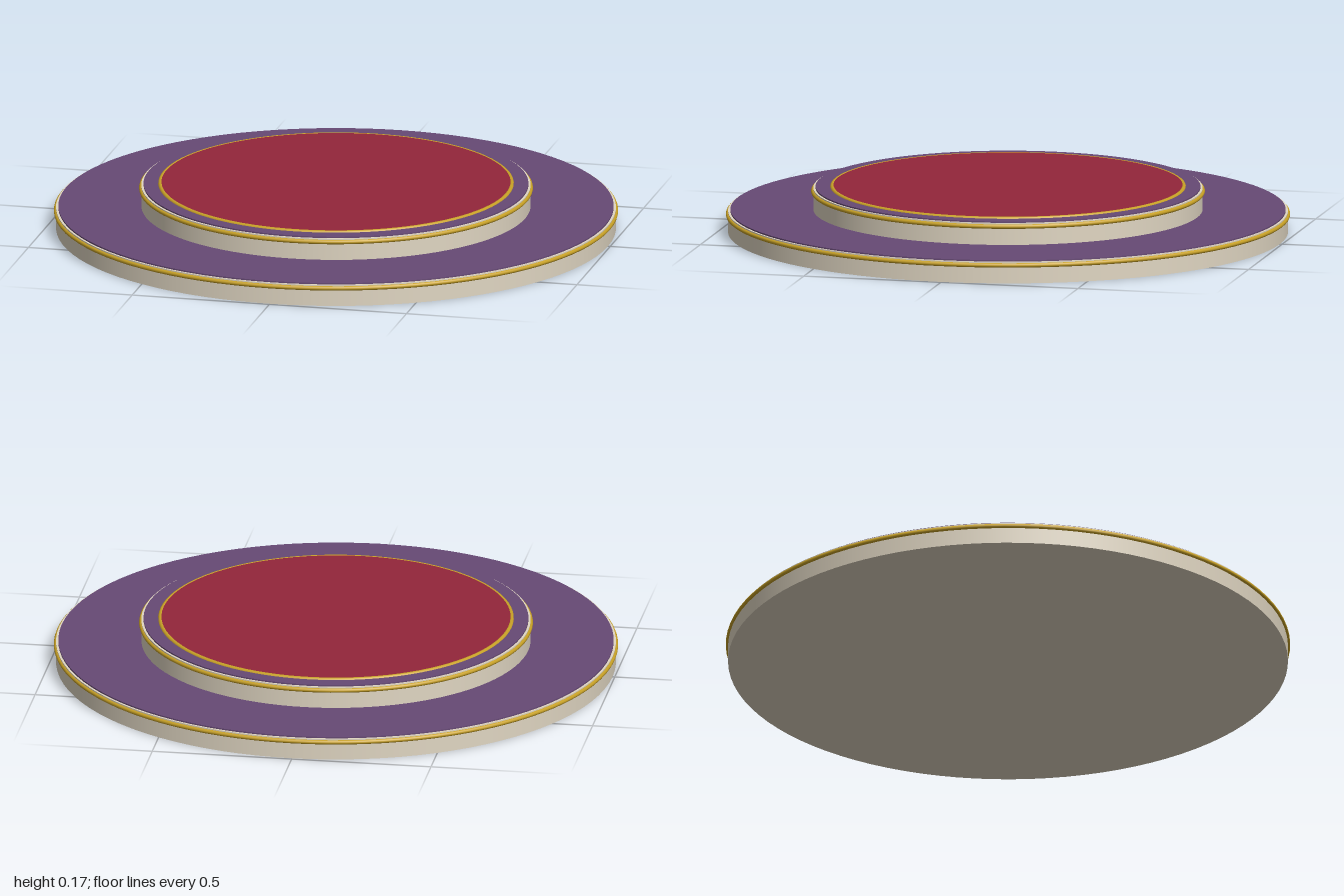
import * as THREE from 'three';

const SEGMENTS = 96;
const material = (color) => new THREE.MeshStandardMaterial({ color });

export function createModel() {
  const stone = material(0xe0d6c2);
  const gold = material(0xc9a227);
  const purple = material(0x674a75);
  const red = material(0x93263a);
  const model = new THREE.Group();
  model.name = 'roundStage';

  const disc = (name, radius, bottom, top, mat, parent) => {
    const mesh = new THREE.Mesh(new THREE.CylinderGeometry(radius, radius, top - bottom, SEGMENTS), mat);
    mesh.position.y = (bottom + top) / 2;
    mesh.name = name;
    parent.add(mesh);
  };

  const ring = (name, radius, tube, y, mat, parent) => {
    const mesh = new THREE.Mesh(new THREE.TorusGeometry(radius, tube, 10, SEGMENTS), mat);
    mesh.rotation.x = -Math.PI / 2;
    mesh.position.y = y;
    mesh.name = name;
    parent.add(mesh);
  };

  // Each tier: stone drum, gold band near the rim, purple carpet inset on top
  const tier = (name, radius, bottom, top) => {
    const group = new THREE.Group();
    group.name = name;
    disc('drum', radius, bottom, top - 0.005, stone, group);
    ring('goldBand', radius, 0.008, top - 0.017, gold, group);
    disc('carpet', radius - 0.008, top - 0.01, top, purple, group);
    model.add(group);
  };
  tier('lowerTier', 0.992, 0, 0.082);
  tier('upperTier', 0.69, 0.078, 0.165);

  // Red centre with its gold border
  disc('centreCarpet', 0.62, 0.16, 0.17, red, model);
  ring('centreBorder', 0.622, 0.009, 0.162, gold, model);

  return model;
}
